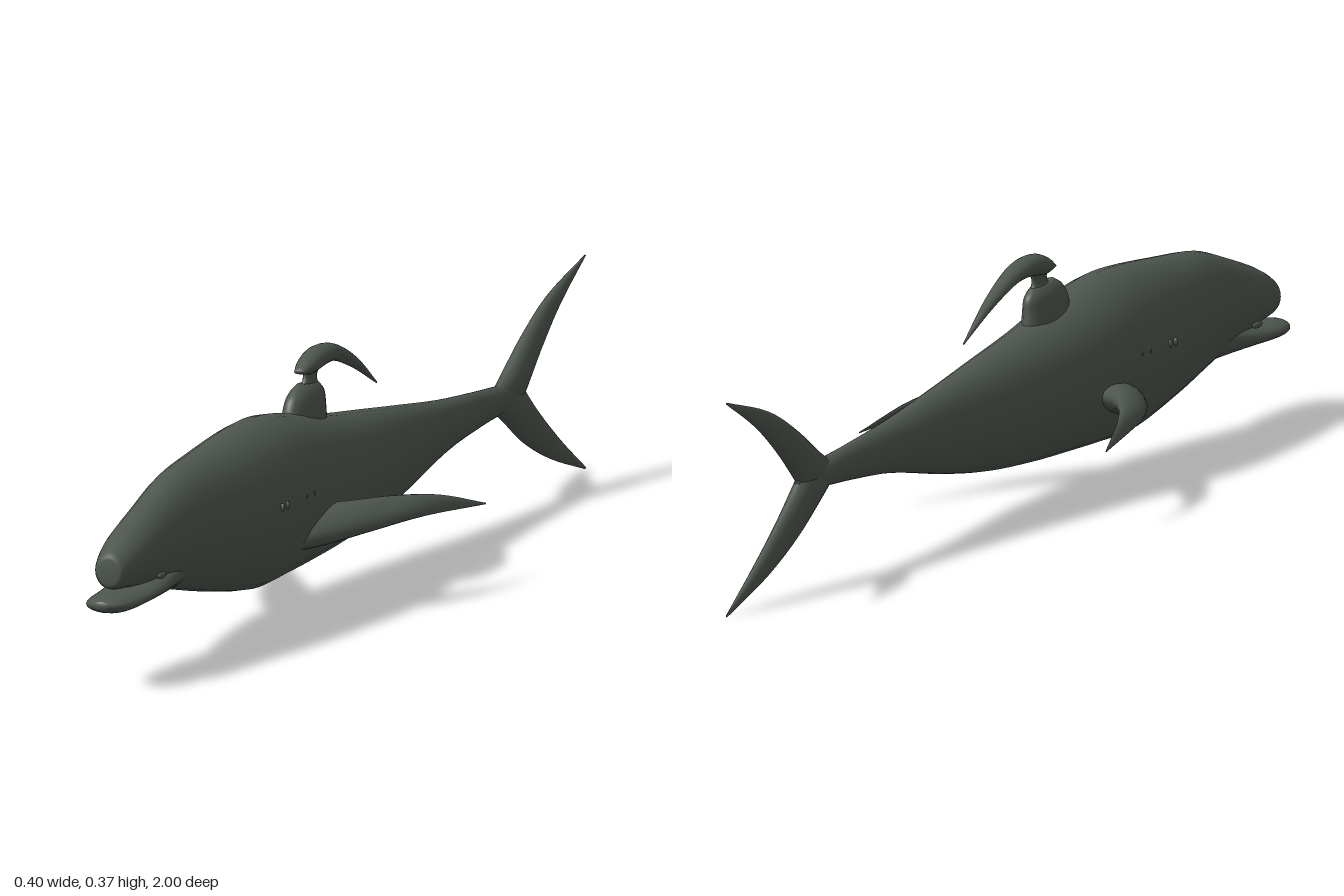
import * as THREE from 'three';

const V = (x, y, z) => new THREE.Vector3(x, y, z);

// Smooth skin through elliptical sections [centre, half axis a, half axis b]
function loft(sections, sides = 28, steps = 4) {
  const curves = [0, 1, 2].map(k =>
    new THREE.CatmullRomCurve3(sections.map(s => s[k]), false, 'catmullrom', 0.5));
  const n = (sections.length - 1) * steps;
  const pos = [], idx = [];
  for (let i = 0; i <= n; i++) {
    const [c, a, b] = curves.map(q => q.getPoint(i / n));
    for (let j = 0; j < sides; j++) {
      const t = j / sides * Math.PI * 2;
      const p = c.clone().addScaledVector(a, Math.cos(t)).addScaledVector(b, Math.sin(t));
      pos.push(p.x, p.y, p.z);
    }
  }
  const first = sections[0], last = sections[sections.length - 1];
  pos.push(...first[0].toArray(), ...last[0].toArray());
  const along = sections[1][0].clone().sub(first[0]);
  const flip = first[1].clone().cross(first[2]).dot(along) < 0;
  const tri = (a, b, c) => flip ? idx.push(a, c, b) : idx.push(a, b, c);
  const c0 = (n + 1) * sides;
  for (let j = 0; j < sides; j++) {
    const k = (j + 1) % sides;
    for (let i = 0; i < n; i++) {
      const r = i * sides, s = r + sides;
      tri(r + j, r + k, s + k);
      tri(r + j, s + k, s + j);
    }
    tri(c0, k, j);
    tri(c0 + 1, n * sides + j, n * sides + k);
  }
  const g = new THREE.BufferGeometry();
  g.setAttribute('position', new THREE.Float32BufferAttribute(pos, 3));
  g.setIndex(idx);
  g.computeVertexNormals();
  return g;
}

// Body-like section rows: [z, bottom, top, half width]
const hull = rows => loft(rows.map(([z, lo, hi, w]) =>
  [V(0, (lo + hi) / 2, z), V(w, 0, 0), V(0, (hi - lo) / 2, 0)]));

// Fin from leading and trailing edge points, with a half thickness along one axis
const blade = (rows, axis) => loft(rows.map(([lead, trail, t]) => {
  const L = V(...lead), T = V(...trail);
  return [L.clone().add(T).multiplyScalar(0.5), L.sub(T).multiplyScalar(0.5),
    axis.clone().multiplyScalar(t)];
}), 20, 5);

export function createModel() {
  const group = new THREE.Group();
  const skin = new THREE.MeshStandardMaterial({ color: 0x4e564e });
  skin.name = 'dark grey green skin';
  const add = (name, geometry) => {
    const mesh = new THREE.Mesh(geometry, skin);
    mesh.name = name;
    group.add(mesh);
    return mesh;
  };

  // Body with blunt upper snout
  add('body', hull([
    [0.968, 0.168, 0.196, 0.012], [0.96, 0.152, 0.207, 0.024], [0.9, 0.145, 0.232, 0.036],
    [0.8, 0.128, 0.262, 0.043], [0.7, 0.108, 0.287, 0.053], [0.58, 0.085, 0.298, 0.067],
    [0.42, 0.06, 0.309, 0.08], [0.32, 0.06, 0.307, 0.082], [0.2, 0.063, 0.288, 0.077],
    [0.08, 0.067, 0.268, 0.067], [-0.07, 0.077, 0.249, 0.054], [-0.22, 0.097, 0.23, 0.039],
    [-0.4, 0.127, 0.208, 0.025], [-0.55, 0.14, 0.195, 0.017], [-0.66, 0.147, 0.186, 0.015],
    [-0.74, 0.16, 0.172, 0.004],
  ]));

  // Protruding lower jaw
  add('lowerJaw', hull([
    [1.0, 0.128, 0.139, 0.01], [0.988, 0.122, 0.142, 0.026], [0.96, 0.117, 0.145, 0.036],
    [0.9, 0.118, 0.147, 0.041], [0.82, 0.119, 0.157, 0.042], [0.7, 0.115, 0.18, 0.03],
  ]));

  // Forked tail
  const X = V(1, 0, 0);
  add('upperTailLobe', blade([
    [[0, 0.178, -0.61], [0, 0.15, -0.73], 0.012], [[0, 0.2, -0.665], [0, 0.172, -0.745], 0.017],
    [[0, 0.247, -0.75], [0, 0.222, -0.81], 0.014], [[0, 0.29, -0.85], [0, 0.272, -0.89], 0.009],
    [[0, 0.325, -0.995], [0, 0.323, -0.998], 0.001],
  ], X));
  add('lowerTailLobe', blade([
    [[0, 0.155, -0.61], [0, 0.18, -0.73], 0.012], [[0, 0.13, -0.665], [0, 0.16, -0.745], 0.017],
    [[0, 0.083, -0.75], [0, 0.112, -0.815], 0.013], [[0, 0.041, -0.86], [0, 0.06, -0.9], 0.009],
    [[0, 0.004, -0.995], [0, 0.007, -0.998], 0.001],
  ], X));

  // Hump, narrow neck and swept dorsal fin
  add('dorsalHump', blade([
    [[0, 0.25, 0.24], [0, 0.25, 0.09], 0.026], [[0, 0.3, 0.225], [0, 0.285, 0.093], 0.023],
    [[0, 0.318, 0.208], [0, 0.308, 0.095], 0.018], [[0, 0.328, 0.185], [0, 0.322, 0.11], 0.01],
  ], X));
  add('dorsalNeck', blade([
    [[0, 0.315, 0.175], [0, 0.315, 0.11], 0.012], [[0, 0.335, 0.16], [0, 0.332, 0.115], 0.007],
    [[0, 0.355, 0.165], [0, 0.352, 0.105], 0.013],
  ], X));
  add('dorsalFin', blade([
    [[0, 0.349, 0.184], [0, 0.343, 0.18], 0.008], [[0, 0.365, 0.152], [0, 0.338, 0.145], 0.016],
    [[0, 0.374, 0.11], [0, 0.343, 0.085], 0.018], [[0, 0.367, 0.045], [0, 0.338, 0.03], 0.015],
    [[0, 0.332, -0.045], [0, 0.313, -0.05], 0.009], [[0, 0.279, -0.138], [0, 0.277, -0.136], 0.001],
  ], X));

  for (const [s, side] of [[1, 'left'], [-1, 'right']]) {
    // Swept pectoral fin
    add(side + 'PectoralFin', blade([
      [[s * 0.045, 0.122, 0.385], [s * 0.045, 0.15, 0.21], 0.026],
      [[s * 0.085, 0.126, 0.33], [s * 0.085, 0.152, 0.19], 0.023],
      [[s * 0.13, 0.132, 0.238], [s * 0.13, 0.155, 0.125], 0.017],
      [[s * 0.17, 0.135, 0.12], [s * 0.17, 0.147, 0.04], 0.01],
      [[s * 0.2, 0.121, -0.065], [s * 0.199, 0.121, -0.069], 0.001],
    ], V(0, 1, 0)));

    // Eye and small flank marks
    const dot = (name, x, y, z, sx, sy, sz) => {
      const m = add(side + name, new THREE.SphereGeometry(1, 12, 8));
      m.position.set(s * x, y, z);
      m.scale.set(sx, sy, sz);
    };
    dot('Eye', 0.037, 0.156, 0.845, 0.004, 0.005, 0.018);
    [0.455, 0.435, 0.36, 0.33].forEach((z, i) =>
      dot('FlankMark' + (i + 1), 0.0785, 0.195, z, 0.004, 0.006, 0.003));
  }
  return group;
}
